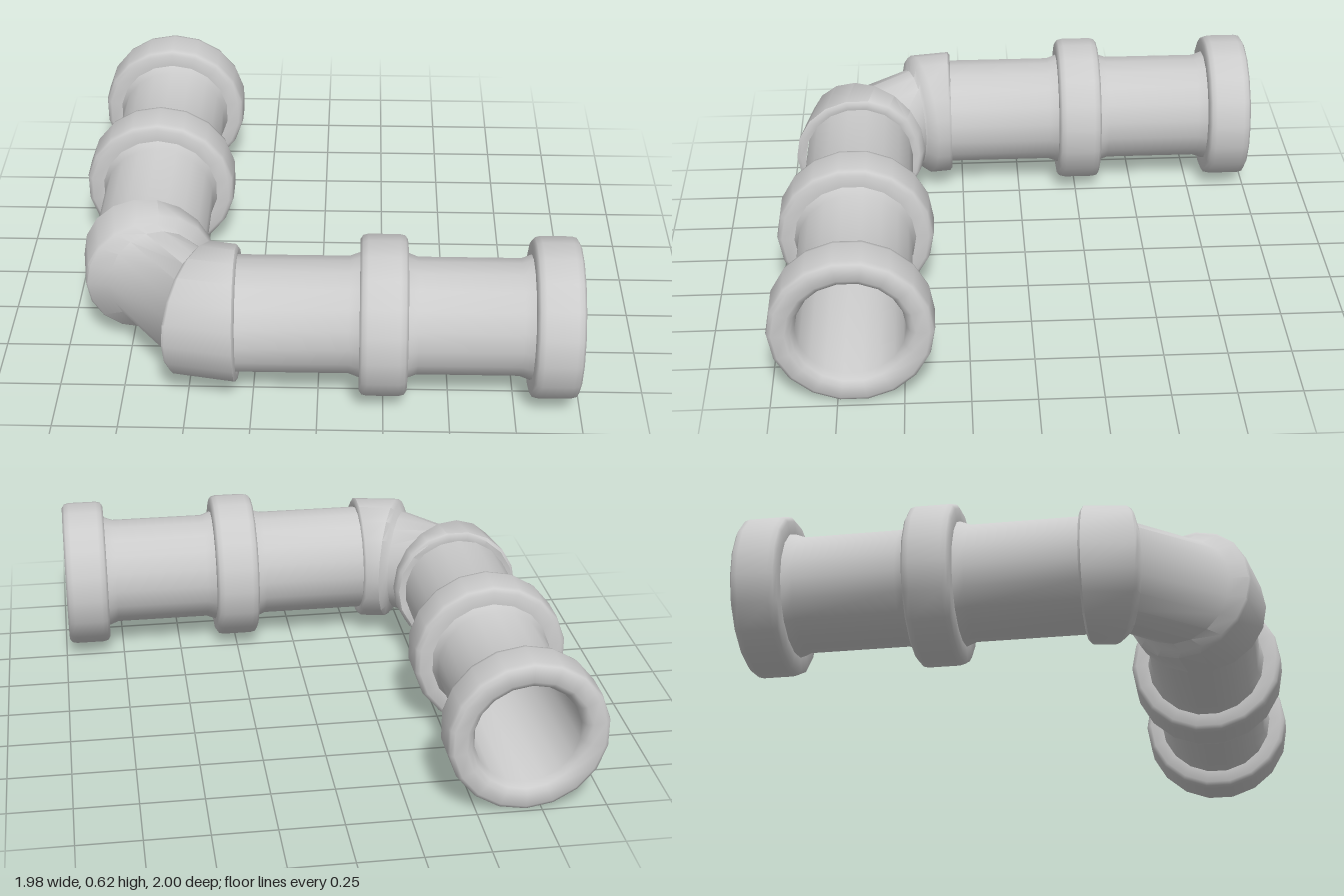
import * as THREE from 'three';
import { toCreasedNormals } from 'three/addons/utils/BufferGeometryUtils.js';

const SIDES = 18, AXIS_Y = 0.31, CREASE = 0.9;
const material = new THREE.MeshStandardMaterial({ color: 0xcccccc });

// Flange outline with softened rims, as [radius, distance] pairs
const flange = (start, end) => [
  [0.225, start - 0.04], [0.24, start], [0.29, start], [0.305, start + 0.01],
  [0.31, start + 0.03], [0.31, end - 0.03], [0.305, end - 0.01], [0.29, end],
];

// Straight hollow arm: outer wall with two flanges, rounded lip, bore back to the elbow
function armGeometry() {
  const profile = [
    [0.225, -0.33],
    ...flange(0.165, 0.345), [0.24, 0.345], [0.225, 0.385],
    ...flange(0.815, 0.992),
    [0.24, 0.992], [0.22, 0.98], [0.205, 0.95], [0.205, -0.33],
  ].map(([r, y]) => new THREE.Vector2(r, y));
  return new THREE.LatheGeometry(profile, SIDES);
}

// Skin over elliptical rings: [outer x, outer z, inner x, inner z, half height]
function loftGeometry(rings) {
  const positions = [], index = [];
  for (const [ox, oz, ix, iz, h] of rings) {
    for (let j = 0; j < SIDES; j++) {
      const a = (j / SIDES) * Math.PI * 2, c = Math.cos(a) / 2;
      positions.push(
        (ox + ix) / 2 + (ox - ix) * c,
        AXIS_Y + h * Math.sin(a),
        (oz + iz) / 2 + (oz - iz) * c);
    }
  }
  for (let i = 0; i < rings.length - 1; i++) {
    for (let j = 0; j < SIDES; j++) {
      const a = i * SIDES + j, b = i * SIDES + (j + 1) % SIDES;
      index.push(a, b, a + SIDES, b, b + SIDES, a + SIDES);
    }
  }
  const geometry = new THREE.BufferGeometry();
  geometry.setAttribute('position', new THREE.Float32BufferAttribute(positions, 3));
  geometry.setIndex(index);
  geometry.computeVertexNormals();
  return geometry;
}

export function createModel() {
  const model = new THREE.Group();
  model.name = 'elbowPipe';
  const add = (name, geometry) => {
    const mesh = new THREE.Mesh(toCreasedNormals(geometry, CREASE), material);
    mesh.name = name;
    model.add(mesh);
    return mesh;
  };

  // Side arm runs along +x, rear arm along -z
  add('sideArm', armGeometry().rotateZ(-Math.PI / 2)).position.set(-0.008, AXIS_Y, 0.688);
  add('rearArm', armGeometry().rotateX(-Math.PI / 2)).position.set(-0.688, AXIS_Y, -0.008);

  // Elbow: slanted collar, narrow diagonal tube, second collar, then the bore back
  add('elbow', loftGeometry([
    [-0.31, 0.915, -0.31, 0.465, 0.225],
    [-0.305, 0.94, -0.305, 0.435, 0.25],
    [-0.315, 0.955, -0.315, 0.422, 0.263],
    [-0.57, 0.908, -0.365, 0.41, 0.263],
    [-0.58, 0.9, -0.395, 0.435, 0.245],
    [-0.58, 0.83, -0.41, 0.44, 0.215],
    [-0.82, 0.52, -0.455, 0.405, 0.215],
    [-0.905, 0.512, -0.45, 0.395, 0.245],
    [-0.912, 0.505, -0.42, 0.35, 0.263],
    [-0.945, 0.305, -0.425, 0.305, 0.263],
    [-0.935, 0.295, -0.435, 0.295, 0.25],
    [-0.915, 0.3, -0.465, 0.3, 0.225],
    [-0.893, 0.3, -0.483, 0.3, 0.205],
    [-0.79, 0.51, -0.475, 0.42, 0.2],
    [-0.575, 0.8, -0.425, 0.46, 0.2],
    [-0.31, 0.893, -0.31, 0.483, 0.205],
  ]));
  return model;
}
